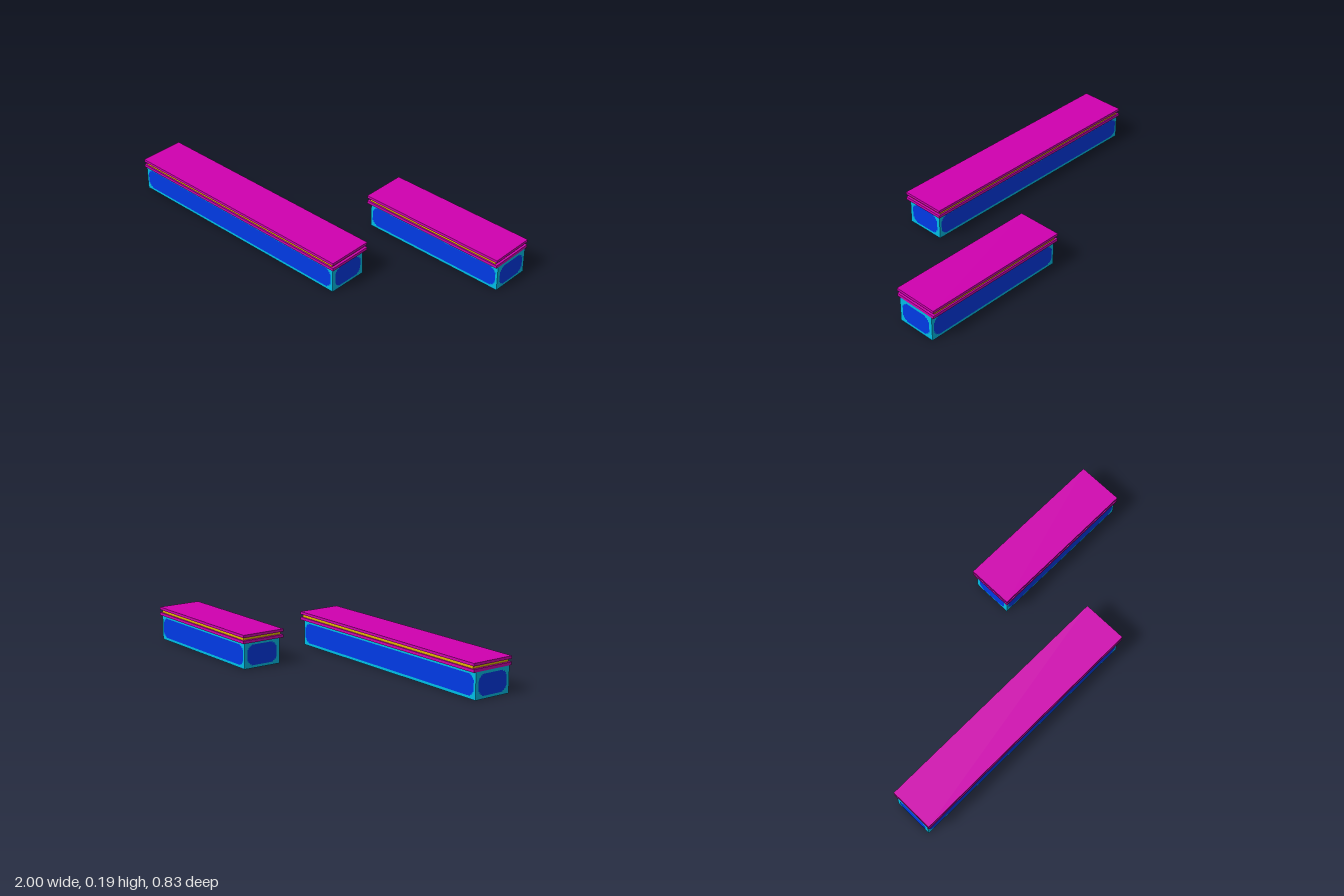
import * as THREE from 'three';

const mat = (name, color) => new THREE.MeshStandardMaterial({ name, color });

export function createModel() {
  const magenta = mat('magenta', 0xd000b0);
  const yellow = mat('yellow', 0xe2b500);
  const cyan = mat('cyan', 0x00bfe6);
  const blue = mat('blue', 0x003ae6);

  const box = (name, x0, x1, y0, y1, z0, z1, material) => {
    const mesh = new THREE.Mesh(new THREE.BoxGeometry(x1 - x0, y1 - y0, z1 - z0), material);
    mesh.position.set((x0 + x1) / 2, (y0 + y1) / 2, (z0 + z1) / 2);
    mesh.name = name;
    return mesh;
  };

  // Flat panel with stepped corners, w wide and h high, facing +z
  const panelGeometry = (w, h) => {
    const corner = [[0, 0.025], [0.006, 0.025], [0.006, 0.015], [0.013, 0.015],
      [0.013, 0.007], [0.025, 0.007], [0.025, 0]];
    const points = [];
    for (const [sx, sy] of [[-1, -1], [1, -1], [1, 1], [-1, 1]]) {
      const run = corner.map(([x, y]) => new THREE.Vector2(sx * (w / 2 - x), sy * (h / 2 - y)));
      points.push(...(sx * sy > 0 ? run : run.reverse()));
    }
    return new THREE.ShapeGeometry(new THREE.Shape(points));
  };

  // Counter: framed body under an overhanging layered top
  const counter = (name, body, top) => {
    const group = new THREE.Group();
    group.name = name;
    const [x0, x1, z0, z1] = body;
    const base = 0.0006, under = 0.143;
    const faces = [cyan, cyan, cyan, blue, cyan, cyan]; // blue underside
    group.add(box('body', x0, x1, base, under, z0, z1, faces));

    // Blue panels on all four sides
    const cx = (x0 + x1) / 2, cz = (z0 + z1) / 2, lift = 0.001;
    const sides = [
      ['frontPanel', x1 - x0 - 0.026, cx, z1 + lift, 0],
      ['backPanel', x1 - x0 - 0.026, cx, z0 - lift, Math.PI],
      ['leftPanel', z1 - z0 - 0.037, x1 + lift, cz, Math.PI / 2],
      ['rightPanel', z1 - z0 - 0.037, x0 - lift, cz, -Math.PI / 2],
    ];
    for (const [label, width, x, z, turn] of sides) {
      const panel = new THREE.Mesh(panelGeometry(width, 0.112), blue);
      panel.name = label;
      panel.position.set(x, 0.072, z);
      panel.rotation.y = turn;
      group.add(panel);
    }

    // Two boards with a slightly recessed yellow layer between them
    const [tx0, tx1, tz0, tz1] = top;
    const endRecess = 0.014, sideRecess = 0.008;
    group.add(box('lowerTop', tx0, tx1, under, 0.159, tz0, tz1, magenta));
    group.add(box('stripe', tx0 + endRecess, tx1 - endRecess, 0.159, 0.175,
      tz0 + sideRecess, tz1 - sideRecess, yellow));
    group.add(box('upperTop', tx0, tx1, 0.175, 0.19, tz0, tz1, magenta));
    return group;
  };

  const model = new THREE.Group();
  model.name = 'counters';
  model.add(counter('longCounter', [-0.999, 0.41, 0.176, 0.399], [-1, 0.425, 0.16, 0.413]));
  const short = counter('shortCounter', [0.155, 0.999, -0.398, -0.175], [0.14, 1, -0.413, -0.159]);

  // Magenta patch on the underside of the short counter
  const patch = new THREE.Mesh(new THREE.PlaneGeometry(0.25, 0.223), magenta);
  patch.name = 'undersidePatch';
  patch.rotation.x = Math.PI / 2;
  patch.position.set(0.525, 0, -0.2865);
  short.add(patch);
  model.add(short);
  return model;
}
